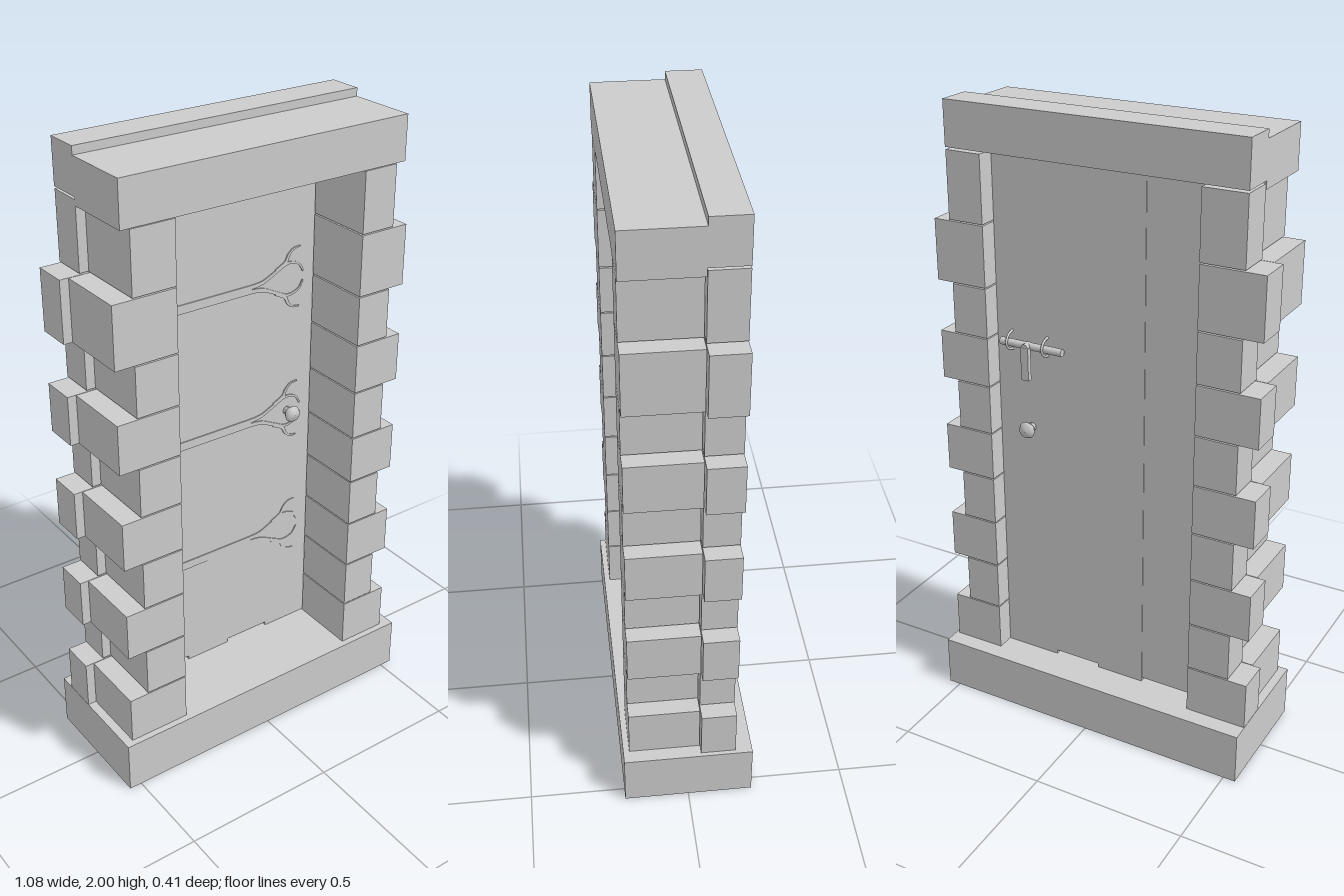
import * as THREE from 'three';

const mat = new THREE.MeshStandardMaterial({ color: 0xcccccc });

function add(parent, name, geometry) {
  const mesh = new THREE.Mesh(geometry, mat);
  mesh.name = name;
  parent.add(mesh);
  return mesh;
}

// Box given by its lower and upper corner
function block(parent, name, x0, x1, y0, y1, z0, z1) {
  const mesh = add(parent, name, new THREE.BoxGeometry(x1 - x0, y1 - y0, z1 - z0));
  mesh.position.set((x0 + x1) / 2, (y0 + y1) / 2, (z0 + z1) / 2);
  return mesh;
}

// Flat bar of tapering width that follows a smooth path in the xy plane
function ribbon(points, w0, w1, depth) {
  const curve = new THREE.SplineCurve(points.map(([x, y]) => new THREE.Vector2(x, y)));
  const n = 24, upper = [], lower = [];
  for (let i = 0; i <= n; i++) {
    const t = i / n, p = curve.getPoint(t), d = curve.getTangent(t);
    const side = new THREE.Vector2(-d.y, d.x).multiplyScalar((w0 + (w1 - w0) * t) / 2);
    upper.push(p.clone().add(side));
    lower.unshift(p.clone().sub(side));
  }
  return new THREE.ExtrudeGeometry(new THREE.Shape([...upper, ...lower]), { depth, bevelEnabled: false });
}

function rod(parent, name, r, length, axis, x, y, z) {
  const geometry = new THREE.CylinderGeometry(r, r, length, 12);
  if (axis === 'x') geometry.rotateZ(Math.PI / 2);
  if (axis === 'z') geometry.rotateX(Math.PI / 2);
  add(parent, name, geometry).position.set(x, y, z);
}

// Strap hinge ending in a teardrop loop and two outward curls
function strapHinge() {
  const hinge = new THREE.Group();
  hinge.name = 'strapHinge';
  block(hinge, 'strap', -0.265, 0.1, -0.014, 0.014, 0, 0.004);
  for (const s of [1, -1]) {
    const flip = pts => pts.map(([x, y]) => [x, y * s]);
    add(hinge, 'loopArm', ribbon(
      flip([[0.09, 0.007], [0.14, 0.012], [0.19, 0.034], [0.235, 0.052], [0.275, 0.042], [0.293, 0.015]]),
      0.014, 0.005, 0.004));
    add(hinge, 'curl', ribbon(
      flip([[0.19, 0.036], [0.225, 0.056], [0.237, 0.078], [0.255, 0.094], [0.28, 0.098]]),
      0.014, 0.004, 0.004));
  }
  return hinge;
}

export function createModel() {
  const model = new THREE.Group();
  model.name = 'stoneDoorway';
  const gap = 0.002;

  block(model, 'doorstep', -0.54, 0.54, 0, 0.17, -0.203, 0.202);

  // Jambs: alternating long and short stones, each with a front and a back half
  const rows = [0.17, 0.33, 0.49, 0.65, 0.81, 0.97, 1.13, 1.29, 1.45, 1.645, 1.838];
  const sides = [
    { name: 'right', s: -1, inner: [0.312, 0.342], long: [0.513, 0.54], short: [0.45, 0.478] },
    { name: 'left', s: 1, inner: [0.33, 0.358], long: [0.497, 0.528], short: [0.445, 0.475] },
  ];
  for (const side of sides) {
    const jamb = new THREE.Group();
    jamb.name = side.name + 'Jamb';
    model.add(jamb);
    for (let i = 0; i < rows.length - 1; i++) {
      const outer = i % 2 ? side.short : side.long;
      const y0 = rows[i] + gap, y1 = rows[i + 1] - gap;
      const yBack = i === rows.length - 2 ? 1.855 : y1;
      const span = k => [side.s * side.inner[k], side.s * outer[k]].sort((a, b) => a - b);
      block(jamb, 'frontStone', ...span(0), y0, y1, -0.039, 0.183);
      block(jamb, 'backStone', ...span(1), y0, yBack, -0.15, -0.041);
    }
  }

  // Lintel, with a raised back beam
  block(model, 'frontLintel', -0.479, 0.476, 1.838, 1.975, -0.04, 0.183);
  block(model, 'backLintel', -0.479, 0.476, 1.862, 2, -0.15, -0.04);

  // Door of four planks, slightly uneven in length and thickness
  const door = new THREE.Group();
  door.name = 'door';
  model.add(door);
  const edges = [-0.341, -0.15, 0.01, 0.17, 0.357];
  for (let i = 0; i < 4; i++) {
    const odd = i % 2;
    block(door, 'plank', edges[i], edges[i + 1], odd ? 0.172 : 0.185, odd ? 1.855 : 1.848,
      i ? -0.092 : -0.09, -0.044);
  }

  for (const y of [0.557, 1, 1.455]) {
    const hinge = strapHinge();
    hinge.position.set(0, y, -0.0445);
    door.add(hinge);
  }

  // Knobs on both faces, turned about the z axis
  const profile = [[0, 0], [0.014, 0], [0.01, 0.014], [0.021, 0.02], [0.027, 0.031], [0.021, 0.042], [0, 0.046]]
    .map(([r, h]) => new THREE.Vector2(r, h));
  for (const s of [1, -1]) {
    const knob = add(door, s > 0 ? 'frontKnob' : 'backKnob', new THREE.LatheGeometry(profile, 20));
    knob.rotation.x = s * Math.PI / 2;
    knob.position.set(0.243, 1, s > 0 ? -0.044 : -0.092);
  }

  // Sliding latch on the back: bolt, two staples and a hanging grip
  const latch = new THREE.Group();
  latch.name = 'latch';
  latch.position.set(0, 1.28, -0.092);
  door.add(latch);
  rod(latch, 'bolt', 0.012, 0.215, 'x', 0.223, 0, -0.022);
  for (const x of [0.305, 0.18]) {
    const staple = new THREE.Group();
    staple.name = 'staple';
    latch.add(staple);
    const path = new THREE.CatmullRomCurve3(
      [[0.03, 0.001], [0.022, -0.022], [0, -0.035], [-0.022, -0.022], [-0.03, 0.001]]
        .map(([y, z]) => new THREE.Vector3(x, y, z)));
    add(staple, 'stapleLoop', new THREE.TubeGeometry(path, 16, 0.004, 8));
  }
  rod(latch, 'gripPivot', 0.012, 0.03, 'z', 0.235, 0, -0.03);
  block(latch, 'grip', 0.222, 0.248, -0.105, 0, -0.046, -0.03);

  return model;
}
